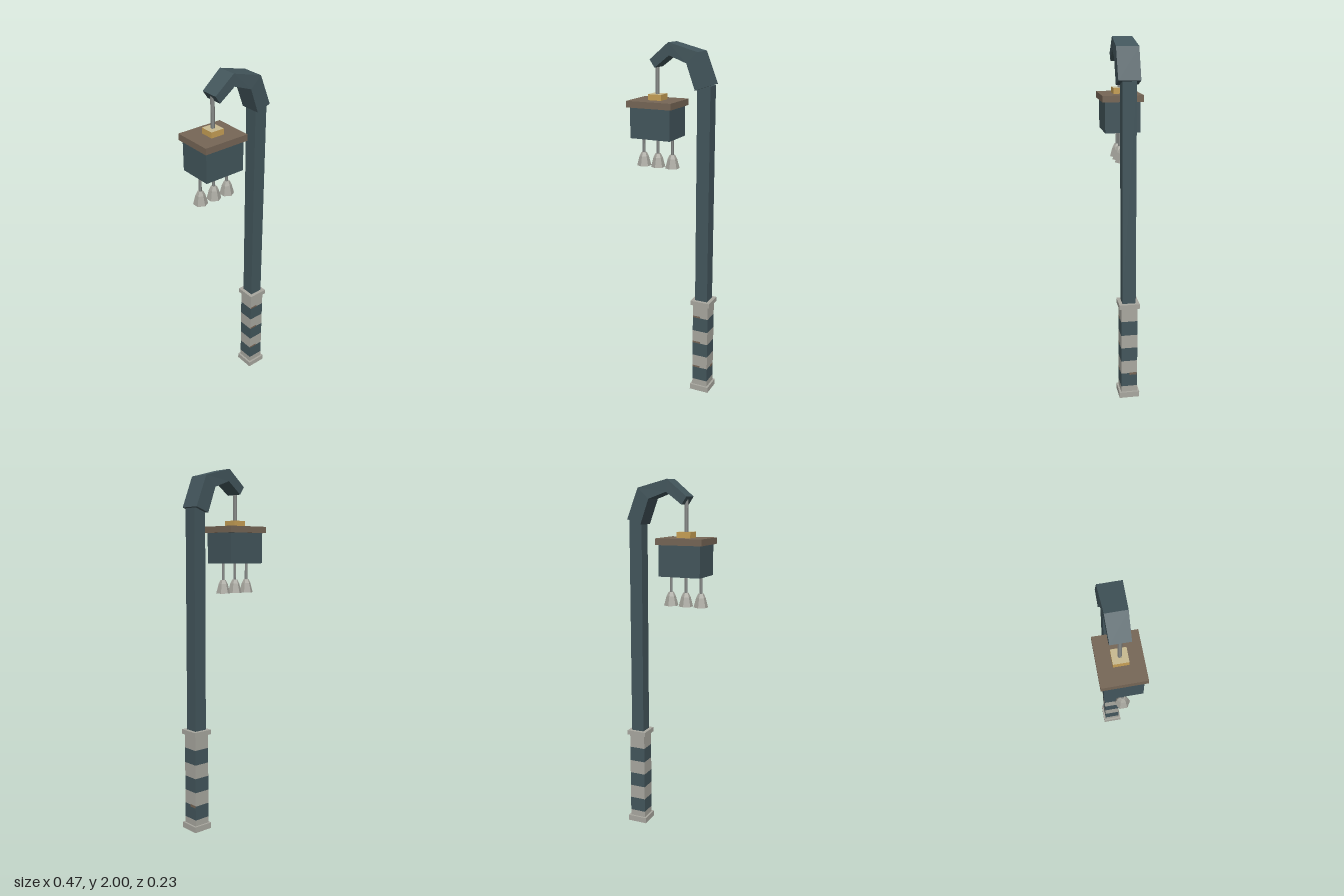
import * as THREE from 'three';

const mat = (name, color) => {
  const m = new THREE.MeshStandardMaterial({ color });
  m.name = name;
  return m;
};

export function createModel() {
  const root = new THREE.Group();
  root.name = 'lampPost';
  const teal = mat('dark teal', 0x43565c);
  const stone = mat('pale grey', 0xa9a8a0);
  const wood = mat('brown', 0x766656);
  const gold = mat('gold', 0xc8a055);
  const paleGold = mat('pale gold', 0xc8ba90);
  const metal = mat('rod grey', 0x858886);
  const under = mat('dark brown', 0x5a4234);

  const add = (parent, name, geo, material, x = 0, y = 0, z = 0) => {
    const mesh = new THREE.Mesh(geo, material);
    mesh.name = name;
    mesh.position.set(x, y, z);
    parent.add(mesh);
    return mesh;
  };
  // Box given by its bottom and top heights
  const block = (parent, name, w, d, y0, y1, material, x = 0, z = 0) =>
    add(parent, name, new THREE.BoxGeometry(w, y1 - y0, d), material, x, (y0 + y1) / 2, z);
  // Faceted geometry with flat normals
  const faceted = (geo) => {
    const g = geo.toNonIndexed();
    g.computeVertexNormals();
    return g;
  };

  // Post with striped base
  const post = new THREE.Group();
  post.name = 'post';
  post.position.x = 0.178;
  root.add(post);
  block(post, 'shaft', 0.074, 0.074, 0.57, 1.785, teal);
  block(post, 'baseFoot', 0.114, 0.114, 0, 0.033, [stone, stone, stone, under, stone, stone]);
  block(post, 'baseCollar', 0.114, 0.114, 0.549, 0.575, stone);
  const levels = [0.033, 0.068, 0.149, 0.227, 0.308, 0.386, 0.47, 0.549];
  for (let i = 0; i < levels.length - 1; i++) {
    block(post, i % 2 ? 'darkBand' : 'paleBand', 0.092, 0.092, levels[i], levels[i + 1], i % 2 ? teal : stone);
  }
  // Worn brown slivers along the band edges
  for (const y of [0.149, 0.308, 0.47]) {
    block(post, 'wornEdge', 0.045, 0.002, y, y + 0.01, wood, -0.022, 0.0465);
  }
  block(post, 'wornEdgeSide', 0.002, 0.04, 0.138, 0.152, wood, 0.0465, -0.022);

  // Hook: tapering rectangular sections [outerX, outerY, innerX, innerY, halfDepth]
  const sections = [
    [0.217, 1.79, 0.137, 1.762, 0.059],
    [0.151, 1.956, 0.088, 1.898, 0.06],
    [-0.018, 2.0, -0.013, 1.934, 0.054],
    [-0.128, 1.91, -0.1, 1.868, 0.05],
  ];
  const rings = sections.map(([ox, oy, ix, iy, d]) => [[ox, oy, d], [ox, oy, -d], [ix, iy, -d], [ix, iy, d]]);
  const pos = [];
  const quad = (a, b, c, d) => pos.push(...a, ...b, ...c, ...a, ...c, ...d);
  for (let i = 0; i < rings.length - 1; i++) {
    for (let k = 0; k < 4; k++) {
      const n = (k + 1) % 4;
      quad(rings[i][k], rings[i][n], rings[i + 1][n], rings[i + 1][k]);
    }
  }
  quad(...[...rings[0]].reverse());
  quad(...rings[rings.length - 1]);
  const hookGeo = new THREE.BufferGeometry();
  hookGeo.setAttribute('position', new THREE.Float32BufferAttribute(pos, 3));
  hookGeo.computeVertexNormals();
  add(root, 'hook', hookGeo, teal);

  // Hanging lantern
  const lantern = new THREE.Group();
  lantern.name = 'lantern';
  lantern.position.x = -0.108;
  root.add(lantern);
  const rod = (r, y0, y1) => faceted(new THREE.CylinderGeometry(r, r, y1 - y0, 6)).translate(0, (y0 + y1) / 2, 0);
  add(lantern, 'hangingRod', rod(0.011, 1.72, 1.9), metal);
  block(lantern, 'mount', 0.078, 0.078, 1.695, 1.727, [gold, gold, paleGold, gold, gold, gold]);
  block(lantern, 'roof', 0.264, 0.226, 1.66, 1.695, wood);
  block(lantern, 'body', 0.237, 0.194, 1.492, 1.66, teal);

  // Three bells below the lantern
  const bellProfile = [[0, 1.325], [0.04, 1.325], [0.026, 1.378], [0.015, 1.4], [0, 1.4]];
  for (const x of [-0.088, 0, 0.088]) {
    const bell = new THREE.Group();
    bell.name = 'bell';
    bell.position.x = x;
    lantern.add(bell);
    add(bell, 'bellRod', rod(0.008, 1.395, 1.495), metal);
    add(bell, 'bellCup', faceted(new THREE.LatheGeometry(bellProfile.map((p) => new THREE.Vector2(...p)), 6)), stone);
  }
  return root;
}
